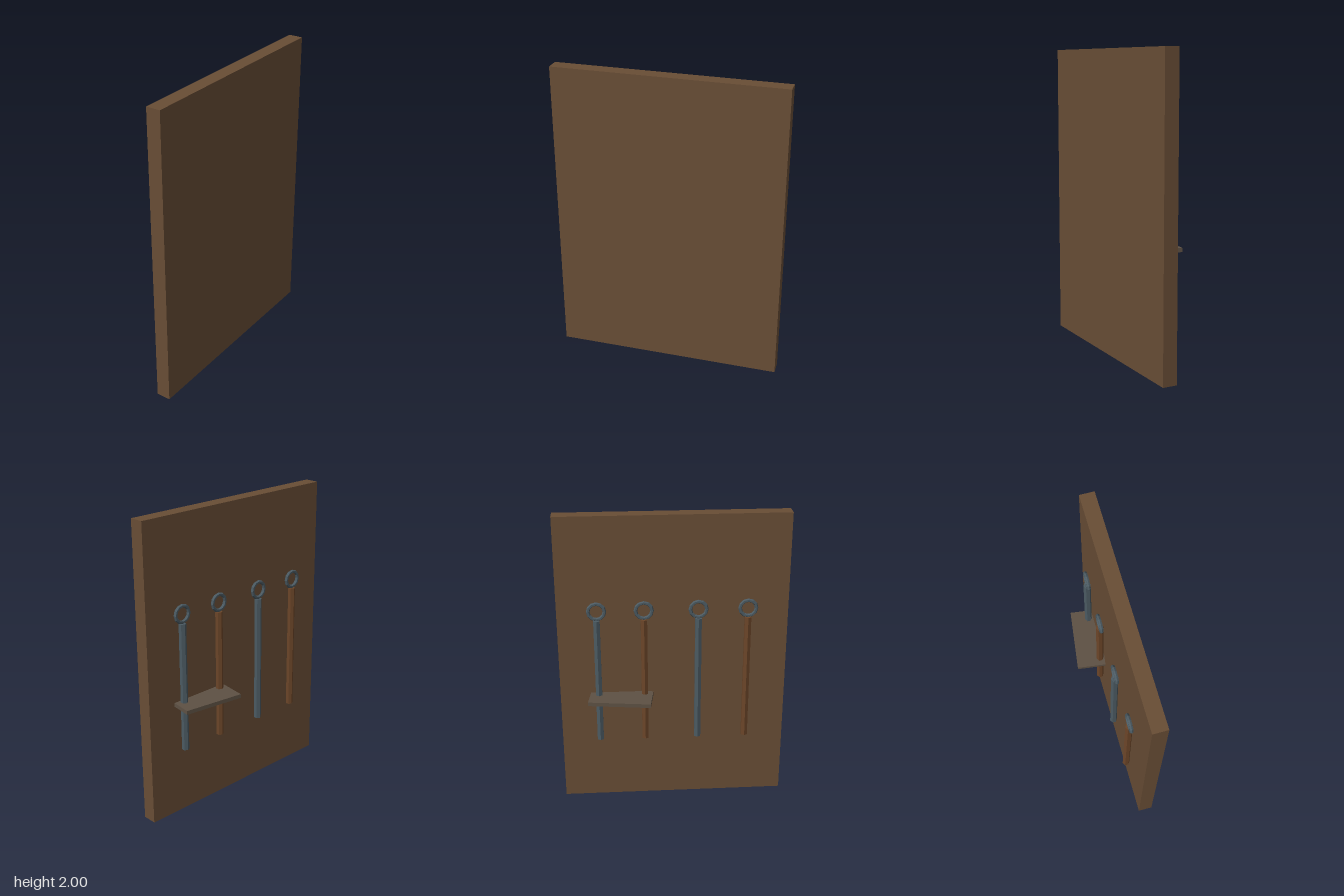
import * as THREE from 'three';

export function createModel() {
  const model = new THREE.Group();
  const material = (name, color) => {
    const m = new THREE.MeshStandardMaterial({ color, flatShading: true });
    m.name = name;
    return m;
  };
  const panelWood = material('panelWood', 0x684d35);
  const shelfWood = material('shelfWood', 0x5e5144);
  const rodWood = material('rodWood', 0x6b4528);
  const steel = material('steel', 0x4b5a62);

  const add = (parent, name, geometry, mat, x, y, z) => {
    const mesh = new THREE.Mesh(geometry, mat);
    mesh.name = name;
    mesh.position.set(x, y, z);
    parent.add(mesh);
    return mesh;
  };

  // Upright backing panel
  add(model, 'panel', new THREE.BoxGeometry(1.5, 2, 0.095), panelWood, 0, 1, 0.098);

  // Crooked shelf, partly sunk into the panel
  const shelf = add(model, 'shelf', new THREE.BoxGeometry(0.413, 0.026, 0.19), shelfWood, 0.35, 0.779, -0.025);
  shelf.rotation.y = -0.136;

  // Hanging six-sided rods, alternately wood and steel, each with a ring on top
  const rodGeometry = new THREE.CylinderGeometry(0.024, 0.024, 0.864, 6);
  const ringGeometry = new THREE.TorusGeometry(0.053, 0.012, 6, 12);
  [-0.483, -0.162, 0.19, 0.494].forEach((x, i) => {
    const hanger = new THREE.Group();
    hanger.name = 'hangingRod' + (i + 1);
    hanger.position.set(x, 0, 0.018);
    add(hanger, 'rod', rodGeometry, i % 2 ? steel : rodWood, 0, 0.89, 0);
    add(hanger, 'ring', ringGeometry, steel, 0, 1.384, 0);
    model.add(hanger);
  });

  return model;
}
